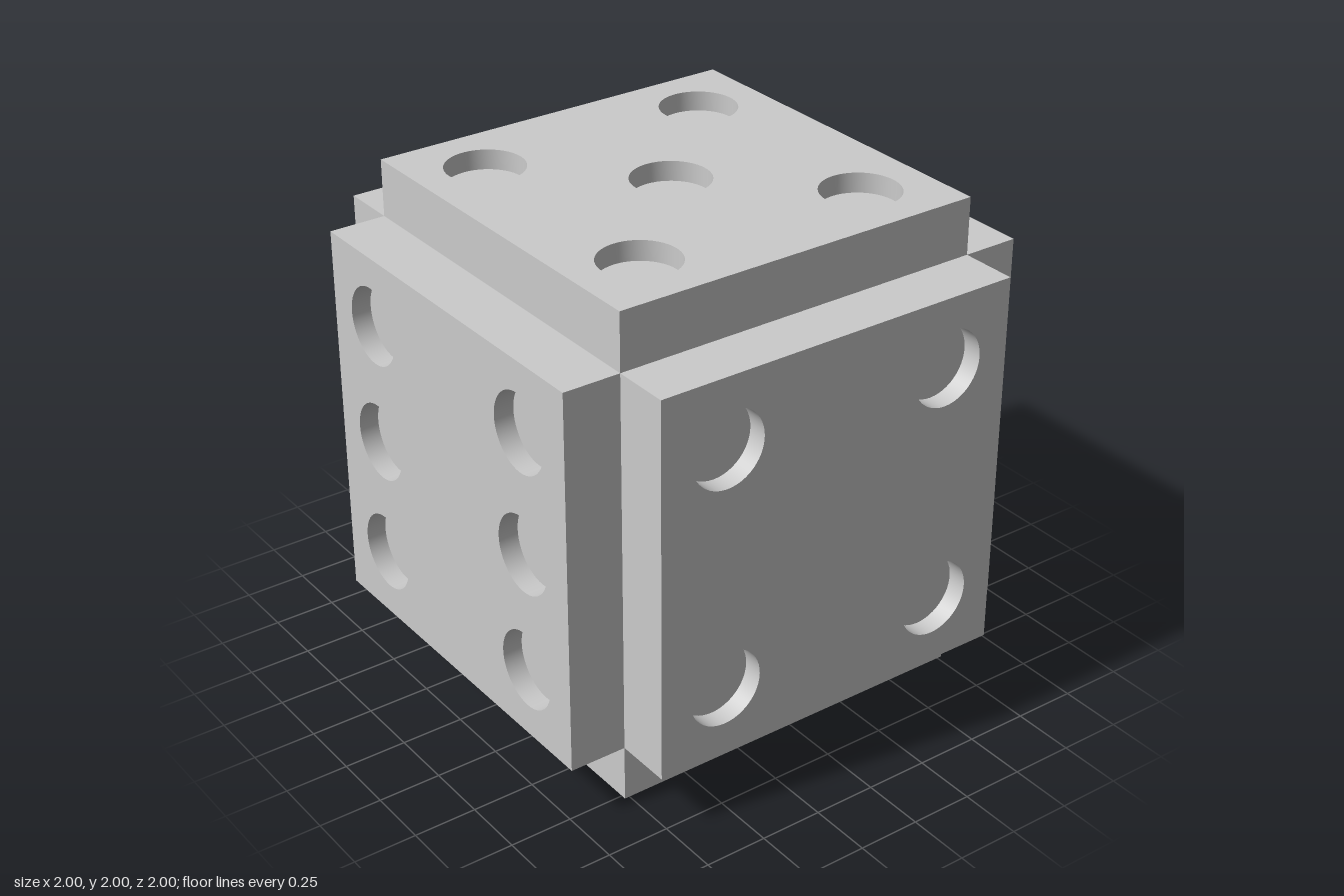
import * as THREE from 'three';
import { toCreasedNormals } from 'three/addons/utils/BufferGeometryUtils.js';

const HALF = 0.77;       // half width of the core and of each face plate
const THICK = 0.23;      // plate thickness
const PIP_R = 0.155;
const PIP_DEPTH = 0.08;
const P = 0.49;          // pip offset from the plate centre

// pip layouts in plate coordinates
const diagonalUp = [[P, P], [-P, -P]];
const diagonalDown = [[P, -P], [-P, P]];
const four = [...diagonalUp, ...diagonalDown];
const centre = [[0, 0]];

const faces = [
  { name: 'frontPlate', rot: [0, 0], pips: [...four, [P, 0], [-P, 0]] },
  { name: 'backPlate', rot: [0, Math.PI], pips: centre },
  { name: 'leftPlate', rot: [0, Math.PI / 2], pips: four },
  { name: 'rightPlate', rot: [0, -Math.PI / 2], pips: [...diagonalUp, ...centre] },
  { name: 'topPlate', rot: [-Math.PI / 2, 0], pips: [...four, ...centre] },
  { name: 'bottomPlate', rot: [Math.PI / 2, 0], pips: diagonalDown },
];

export function createModel() {
  const model = new THREE.Group();
  model.name = 'die';
  const material = new THREE.MeshStandardMaterial({ color: 0xcccccc });
  const add = (parent, name, geometry) => {
    const mesh = new THREE.Mesh(geometry, material);
    mesh.name = name;
    parent.add(mesh);
    return mesh;
  };

  // solid inner cube carrying the six plates
  add(model, 'core', new THREE.BoxGeometry(2 * HALF, 2 * HALF, 2 * HALF)).position.y = 1;

  for (const { name, rot, pips } of faces) {
    const face = new THREE.Group();
    face.name = name;
    face.position.y = 1;
    face.rotation.set(rot[0], rot[1], 0);

    // square plate with round pip holes
    const shape = new THREE.Shape([
      new THREE.Vector2(-HALF, -HALF), new THREE.Vector2(HALF, -HALF),
      new THREE.Vector2(HALF, HALF), new THREE.Vector2(-HALF, HALF),
    ]);
    for (const [u, v] of pips) {
      shape.holes.push(new THREE.Path().absarc(u, v, PIP_R, 0, Math.PI * 2, true));
    }
    const plate = new THREE.ExtrudeGeometry(shape, { depth: THICK, bevelEnabled: false, curveSegments: 24 });
    add(face, 'plate', toCreasedNormals(plate, 0.6)).position.z = HALF;

    // flat floor of each pip
    for (const [u, v] of pips) {
      add(face, 'pipFloor', new THREE.CircleGeometry(PIP_R, 48))
        .position.set(u, v, HALF + THICK - PIP_DEPTH);
    }
    model.add(face);
  }
  return model;
}
